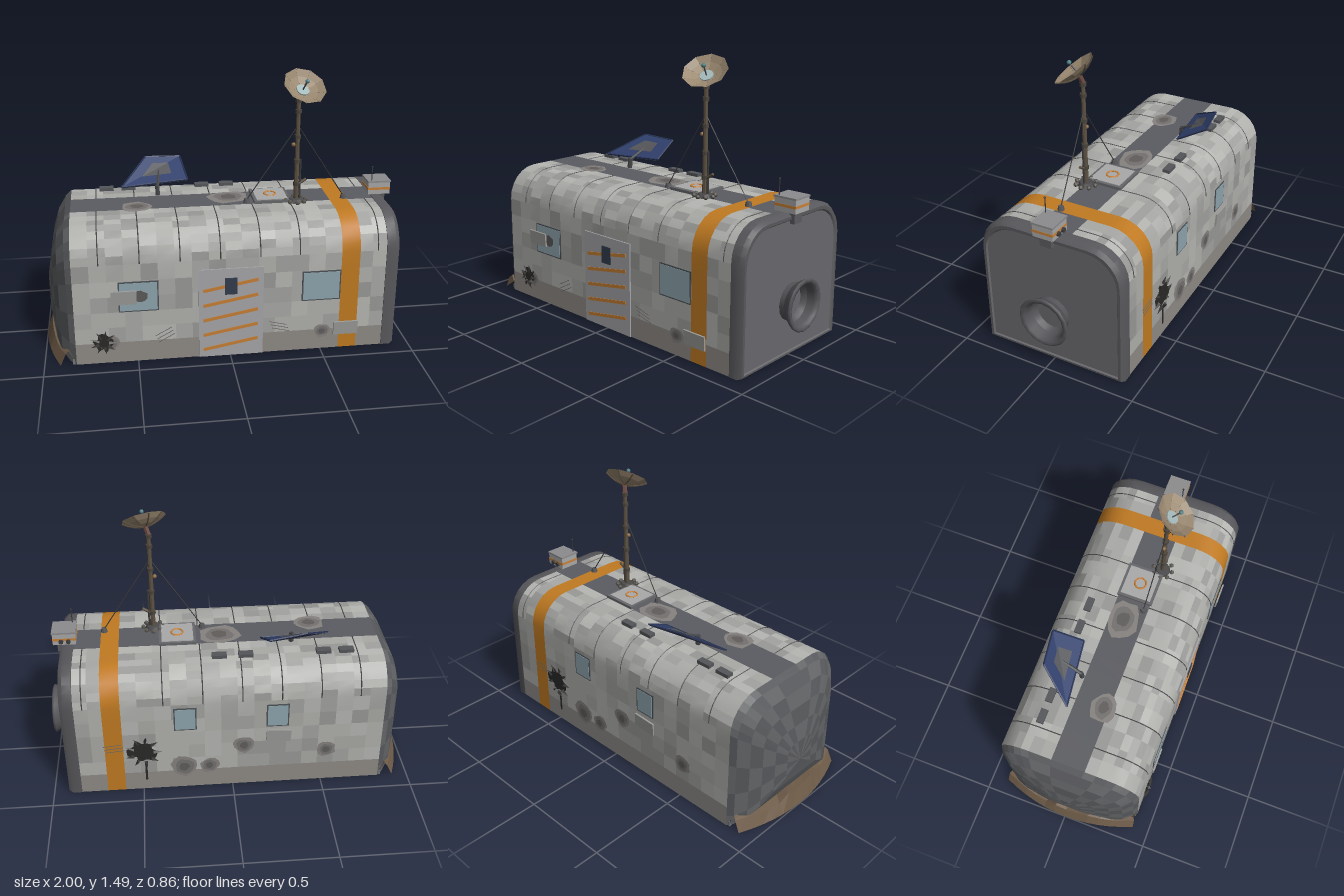
import * as THREE from 'three';
import { toCreasedNormals } from 'three/addons/utils/BufferGeometryUtils.js';

let seed = 11;
const rnd = () => (seed = (seed * 16807) % 2147483647) / 2147483647;
const V = (x, y, z) => new THREE.Vector3(x, y, z);
const mat = (color, flat = true, side = THREE.FrontSide) =>
  new THREE.MeshStandardMaterial({ color, flatShading: flat, side });
const W = 0.405, H = 0.755, R = 0.18;

export function createModel() {
  const root = new THREE.Group();
  const add = (name, geo, material, x = 0, y = 0, z = 0, parent = root) => {
    const m = new THREE.Mesh(geo, material);
    m.name = name;
    m.position.set(x, y, z);
    parent.add(m);
    return m;
  };
  const box = (name, w, h, d, color, x, y, z, parent) =>
    add(name, new THREE.BoxGeometry(w, h, d), mat(color), x, y, z, parent);
  const rod = (name, a, b, r, color, sides = 6, r2 = r) => {
    const d = b.clone().sub(a);
    const m = add(name, new THREE.CylinderGeometry(r2, r, d.length(), sides), mat(color));
    m.position.copy(a).addScaledVector(d, 0.5);
    m.quaternion.setFromUnitVectors(V(0, 1, 0), d.normalize());
    return m;
  };

  // Arched cross-section, from the front sill over the roof to the back sill
  const half = [0, 0.06, 0.12, 0.21, 0.3, 0.39, 0.48].map(y => [W, y]);
  for (let i = 0; i <= 6; i++) {
    const a = i / 6 * Math.PI / 2;
    half.push([W - R + R * Math.cos(a), H - R + R * Math.sin(a)]);
  }
  half.push([0.16, H], [0.095, H]);
  const section = [...half, ...half.slice().reverse().map(([z, y]) => [-z, y])];

  // Lofts the section along x; each cell goes to the part its colour key names
  const loft = (name, rings, wrap, keyOf, flat) => {
    const cells = {}, n = section.length;
    const at = (i, j) => {
      const [x, s] = rings[i], [z, y] = section[j % n];
      return [x, 0.28 + (y - 0.28) * s, z * s];
    };
    for (let i = 0; i < rings.length - 1; i++) for (let j = 0; j < (wrap ? n : n - 1); j++) {
      const a = at(i, j), b = at(i + 1, j), c = at(i + 1, j + 1), d = at(i, j + 1);
      const mid = [0, 1, 2].map(k => (a[k] + b[k] + c[k] + d[k]) / 4);
      (cells[keyOf(mid, i, j)] ??= []).push(...a, ...b, ...c, ...a, ...c, ...d);
    }
    for (const key in cells) {
      const g = new THREE.BufferGeometry();
      g.setAttribute('position', new THREE.Float32BufferAttribute(cells[key], 3));
      add(name, toCreasedNormals(g, 0.7), mat(Number(key), flat));
    }
  };

  // Hull plating: weathered panels, roof walkway and orange band
  const stations = [];
  for (let i = 0; i <= 16; i++) stations.push([-0.83 + i * 1.43 / 16, 1]);
  stations.push([0.7, 1], [0.77, 1], [0.845, 1]);
  const tones = [0xb0b0ad, 0xb0b0ad, 0xa9a9a6, 0xa3a3a1, 0xb6b6b3, 0x999997];
  loft('hullPlating', stations, false, ([x, y, z]) => {
    if (x > 0.6 && x < 0.7) return 0xc07a22;
    if (y > 0.75 && Math.abs(z) < 0.095) return 0x5b5c61;
    if (y < 0.12) return 0x8f8b87;
    return tones[Math.floor(rnd() * 6)];
  }, false);

  // Domed nose with chequered dark plates
  loft('nosePlating', [[-0.972, 0.001], [-0.966, 0.25], [-0.95, 0.45], [-0.932, 0.65], [-0.905, 0.82],
    [-0.862, 0.95], [-0.83, 1]], true, (m, i, j) =>
    m[1] > 0.7 && Math.abs(m[2]) < 0.095 ? 0x56575b : (i + (j >> 1)) % 2 ? 0x55575a : 0x626365, true);

  // Rear end frame with a shallow recessed bulkhead
  loft('endFrame', [[0.84, 0.97], [0.846, 1.004], [0.895, 1.004], [0.917, 0.97], [0.917, 0.935]],
    true, () => 0x58585c, false);
  loft('bulkhead', [[0.917, 0.935], [0.908, 0.92], [0.908, 0.4], [0.908, 0.001]], true, () => 0x68686c, false);
  const flare = [[0.085, 0], [0.095, 0.03], [0.12, 0.06], [0.136, 0.085], [0.14, 0.094], [0.13, 0.1], [0.113, 0.094],
    [0.105, 0.075], [0.1, 0.01]].map(p => new THREE.Vector2(...p));
  const port = add('dockingPort', new THREE.LatheGeometry(flare, 16), mat(0x56565a, false, THREE.DoubleSide), 0.9, 0.29, 0);
  port.rotation.z = -Math.PI / 2;

  // Underside
  box('floor', 1.72, 0.02, 0.79, 0x3a3c40, 0.01, 0.03, 0);
  for (const s of [-1, 1]) {
    box('sillRail', 1.7, 0.03, 0.02, 0x77777a, 0, 0.015, s * 0.39);
    box('crossRail', 0.02, 0.03, 0.78, 0x77777a, s * 0.83, 0.015, 0);
  }

  // Thin seams over the roof shoulders
  for (let i = 0; i < 8; i++) {
    const x = -0.69 + i * 0.2125;
    if (x > 0.58 && x < 0.72) continue;
    for (const s of [-1, 1]) {
      const pts = half.slice(7).map(([z, y]) => V(x, y, z * s));
      add('roofSeam', new THREE.TubeGeometry(new THREE.CatmullRomCurve3(pts), 12, 0.003, 4), mat(0x4b4b4d));
    }
  }

  // Soil banked against the nose
  const soil = [], N = 12;
  for (let i = 0; i <= N; i++) {
    const t = i / N * 2 - 1, x = -0.915 - 0.085 * (1 - t * t), z = 0.405 * t;
    soil.push([[x, 0, z], [x + 0.03, 0.05 + 0.045 * rnd(), z * 0.99], [-0.87, 0.08, z * 0.97], [-0.82, 0, z]]);
  }
  const tri = [];
  for (let i = 0; i < N; i++) for (let j = 0; j < 3; j++) {
    const a = soil[i][j], b = soil[i + 1][j], c = soil[i + 1][j + 1], d = soil[i][j + 1];
    tri.push(...a, ...b, ...c, ...a, ...c, ...d);
  }
  const soilGeo = new THREE.BufferGeometry();
  soilGeo.setAttribute('position', new THREE.Float32BufferAttribute(tri, 3));
  soilGeo.computeVertexNormals();
  add('soilBank', soilGeo, mat(0x6e5b48, true, THREE.DoubleSide));

  // Wall and roof details sit in groups whose local z points outward
  const face = (name, pos, rx, ry) => {
    const g = new THREE.Group();
    g.name = name;
    g.position.copy(pos);
    g.rotation.set(rx, ry, 0);
    root.add(g);
    return g;
  };
  const front = face('frontDetails', V(0, 0, W), 0, 0);
  const back = face('backDetails', V(0, 0, -W), 0, Math.PI);
  const roof = face('roofDetails', V(0, H, 0), -Math.PI / 2, 0);
  const blob = (name, parent, x, y, rx, ry, color, lift, rough = 0.25, n = 13) => {
    const pts = [];
    for (let i = 0; i < n; i++) {
      const a = i / n * Math.PI * 2, k = 1 - rough * rnd();
      pts.push(new THREE.Vector2(Math.cos(a) * rx * k, Math.sin(a) * ry * k));
    }
    add(name, new THREE.ShapeGeometry(new THREE.Shape(pts)), mat(color), x, y, lift, parent);
  };
  const scorch = (parent, x, y, rx, ry) => [0x85827f, 0x747170, 0x605d5b].forEach((c, i) =>
    blob('scorchMark', parent, x, y, rx * (1 - i * 0.3), ry * (1 - i * 0.3), c, 0.003 + i * 0.0015));
  const breach = (parent, x, y, rx, ry) => {
    blob('breach', parent, x, y, rx, ry, 0x2a2928, 0.008, 0.55, 15);
    for (let i = 0; i < 9; i++) {
      const a = i / 9 * Math.PI * 2;
      const m = add('tornEdge', new THREE.ConeGeometry(0.012, 0.05, 3), mat(0x3a3836),
        x + Math.cos(a) * rx * 0.8, y + Math.sin(a) * ry * 0.8, 0.008, parent);
      m.rotation.set(0.3, 0, a - Math.PI / 2);
    }
  };
  const scratches = (parent, x, y, slope) => {
    for (let i = 0; i < 3; i++)
      box('scratch', 0.1, 0.003, 0.002, 0x6a6866, x + i * 0.008, y - i * 0.02, 0.002, parent).rotation.z = slope;
  };
  const windowPane = (parent, x, y, w, h) => {
    box('windowFrame', w + 0.008, h + 0.008, 0.008, 0x4d5256, x, y, 0, parent);
    box('windowPane', w - 0.006, h - 0.006, 0.012, 0x8fa5ae, x, y, 0, parent);
  };
  const patch = (parent, x, y, tilt) => {
    const p = box('patchPlate', 0.135, 0.078, 0.01, 0x9c9c9a, x, y, 0.014, parent);
    p.rotation.set(0.06, 0, tilt);
  };

  // Front wall: door, windows, damage
  box('door', 0.348, 0.52, 0.016, 0xa6a6a9, 0.003, 0.261, 0, front);
  for (let i = 0; i < 5; i++)
    box('doorStripe', 0.3, 0.018, 0.006, 0xc88035, 0, 0.072 + i * 0.088, 0.008, front).rotation.z = 0.18;
  box('doorWindow', 0.066, 0.095, 0.008, 0x333d4e, 0.002, 0.42, 0.01, front);
  windowPane(front, -0.488, 0.388, 0.204, 0.166);
  windowPane(front, 0.493, 0.388, 0.204, 0.166);
  blob('breach', front, -0.48, 0.392, 0.05, 0.038, 0x5c5a58, 0.009, 0.3);
  patch(front, -0.566, 0.39, 0);
  patch(front, 0.635, 0.128, 0);
  breach(front, -0.68, 0.125, 0.065, 0.065);
  scorch(front, -0.64, 0.12, 0.05, 0.05);
  scorch(front, 0.505, 0.11, 0.055, 0.045);
  scratches(front, -0.36, 0.17, 0.5);
  scratches(front, 0.26, 0.175, -0.25);

  // Back wall, local x runs toward -x
  windowPane(back, -0.258, 0.48, 0.115, 0.138);
  windowPane(back, 0.243, 0.475, 0.115, 0.138);
  patch(back, 0.25, 0.345, -0.05);
  breach(back, -0.49, 0.27, 0.1, 0.11);
  box('breachCrack', 0.012, 0.12, 0.003, 0x2a2928, -0.48, 0.13, 0.003, back);
  for (const [x, y, r] of [[-0.27, 0.15, 0.085], [-0.13, 0.15, 0.06], [0.06, 0.28, 0.065], [0.52, 0.22, 0.06]])
    scorch(back, x, y, r, r);
  scratches(back, -0.66, 0.32, 0.1);

  // Roof: vents, hatch, scorch marks
  for (const x of [-0.63, -0.505, -0.083, 0.06]) box('roofVent', 0.08, 0.04, 0.03, 0x55565a, x, 0.228, 0.002, roof);
  scorch(roof, -0.47, -0.065, 0.1, 0.08);
  scorch(roof, 0.045, 0.015, 0.13, 0.105);
  box('hatchFrame', 0.205, 0.205, 0.022, 0x66676a, 0.277, 0, 0.004, roof);
  box('hatch', 0.175, 0.175, 0.03, 0xa9a9a9, 0.277, 0, 0.004, roof);
  add('hatchRing', new THREE.TorusGeometry(0.032, 0.005, 6, 20), mat(0xc88035), 0.277, 0, 0.02, roof);

  // Broken solar panel on a short bent post
  const corners = [V(-0.545, 0.808, -0.117), V(-0.17, 0.822, -0.165), V(-0.2, 0.908, -0.33), V(-0.4, 0.922, -0.3)];
  const centre = V(-0.33, 0.865, -0.225);
  const sheet = (name, scale, lift, color) => {
    const p = corners.map(c => centre.clone().lerp(c, scale).add(V(0, lift, 0)));
    const g = new THREE.BufferGeometry().setFromPoints([p[0], p[1], p[2], p[0], p[2], p[3]]);
    g.computeVertexNormals();
    add(name, g, mat(color, true, THREE.DoubleSide));
  };
  sheet('solarPanel', 1, 0, 0x30406c);
  sheet('solarPanelBacking', 0.99, -0.008, 0x2a3148);
  sheet('crackedCells', 0.45, 0.005, 0x55565a);
  corners.forEach((c, i) => rod('solarPanelEdge', c, corners[(i + 1) % 4], 0.005, 0x283457, 4));
  rod('solarPost', V(-0.345, H, -0.11), V(-0.345, 0.81, -0.115), 0.014, 0x444548);
  rod('solarArm', V(-0.345, 0.8, -0.11), V(-0.33, 0.858, -0.225), 0.01, 0x444548);

  // Antenna mast with collars, base bolts and guy wires
  const mx = 0.408, mz = 0.087;
  rod('mast', V(mx, H, mz), V(mx, 1.345, mz), 0.014, 0x5d5142, 8, 0.011);
  for (const y of [0.86, 0.99, 1.13, 1.27, 1.33]) rod('mastCollar', V(mx, y - 0.01, mz), V(mx, y + 0.01, mz), 0.018, 0x4a443c, 8);
  rod('mastBase', V(mx, H, mz), V(mx, 0.775, mz), 0.045, 0x4c4c4e, 10, 0.035);
  for (let i = 0; i < 8; i++) {
    const a = i * Math.PI / 4;
    add('baseBolt', new THREE.IcosahedronGeometry(0.014), mat(0x5a564f), mx + 0.055 * Math.cos(a), 0.765, mz + 0.055 * Math.sin(a));
  }
  rod('mastCable', V(mx + 0.02, H, mz), V(mx + 0.02, 1.0, mz), 0.006, 0x3c3c3e);
  rod('mastBracket', V(mx, 0.85, mz), V(mx + 0.055, 0.885, mz), 0.008, 0x5d5142);
  add('mastLamp', new THREE.IcosahedronGeometry(0.012, 1), mat(0x8a6b45), mx - 0.022, 1.085, mz);
  for (const x of [0.135, 0.682]) {
    rod('guyWire', V(mx, 1.19, mz), V(x, 0.77, 0.07), 0.003, 0x3a3a3c, 4);
    rod('guyAnchor', V(x, H - 0.004, 0.07), V(x, 0.778, 0.07), 0.02, 0x57575a, 8, 0.014);
  }

  // Tilted dish with ribs, hub disc and feed
  const dish = new THREE.Group();
  dish.name = 'dish';
  const n = V(0.2, 0.79, 0.58).normalize();
  dish.position.copy(V(0.43, 1.415, 0.122).addScaledVector(n, -0.042));
  dish.quaternion.setFromUnitVectors(V(0, 1, 0), n);
  root.add(dish);
  const bowl = [[0.001, 0], [0.045, 0.008], [0.085, 0.024], [0.12, 0.046]].map(p => new THREE.Vector2(...p));
  add('dishBowl', new THREE.LatheGeometry(bowl, 9), mat(0x9a8870, true, THREE.DoubleSide), 0, 0, 0, dish);
  add('dishHub', new THREE.CylinderGeometry(0.036, 0.036, 0.006, 12), mat(0xa3b8ba), 0, 0.011, 0, dish);
  add('feedRod', new THREE.CylinderGeometry(0.004, 0.004, 0.07, 6), mat(0x55565a), 0, 0.04, 0, dish);
  add('feedHorn', new THREE.IcosahedronGeometry(0.012, 1), mat(0x4f8086), 0, 0.08, 0, dish);
  for (let i = 0; i < 9; i++) {
    const a = i / 9 * Math.PI * 2, p = bowl.map(b => V(b.x * Math.sin(a), b.y - 0.004, b.x * Math.cos(a)));
    add('dishRib', new THREE.TubeGeometry(new THREE.CatmullRomCurve3(p), 4, 0.004, 4), mat(0x5d5142), 0, 0, 0, dish);
  }
  rod('dishMount', V(mx, 1.34, mz), dish.position.clone(), 0.014, 0x6b4a40);

  // Sensor box on the end frame
  box('sensorBox', 0.125, 0.075, 0.115, 0xa8a8a8, 0.893, 0.8, 0);
  box('sensorStripe', 0.128, 0.014, 0.118, 0xc88035, 0.893, 0.795, 0);
  box('sensorLid', 0.132, 0.01, 0.122, 0x8c8c8e, 0.893, 0.836, 0);
  box('sensorBracket', 0.03, 0.065, 0.065, 0x5c5c60, 0.92, 0.735, 0);
  for (const x of [0.87, 0.91]) rod('sensorBarrel', V(x, 0.785, -0.05), V(x, 0.785, -0.07), 0.013, 0x3d3d40, 8);
  rod('sensorAntenna', V(0.85, 0.83, 0.047), V(0.85, 0.922, 0.047), 0.003, 0x3a3a3c, 5);
  add('antennaTip', new THREE.IcosahedronGeometry(0.006), mat(0x3a3a3c), 0.85, 0.922, 0.047);
  return root;
}
